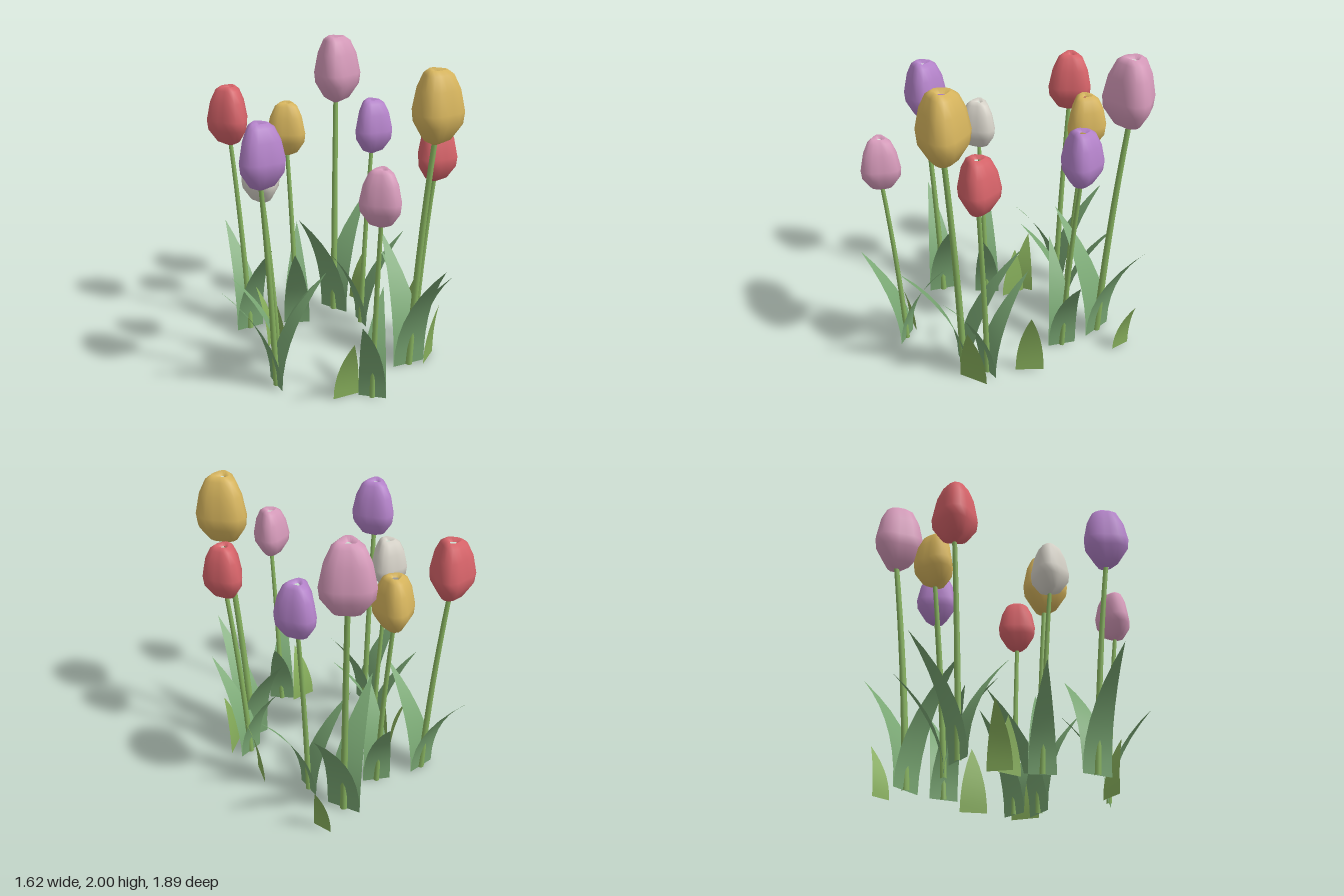
import * as THREE from 'three';
import { mergeVertices } from 'three/addons/utils/BufferGeometryUtils.js';

const mat = (name, color, side = THREE.FrontSide) => {
  const m = new THREE.MeshStandardMaterial({ color, side });
  m.name = name;
  return m;
};
const V = (x, y, z) => new THREE.Vector3(x, y, z);
const rad = THREE.MathUtils.degToRad;

// Curved pointed blade: straight base edge, tapering while it bends towards the tip
function bladeGeometry(base, half, tip, rows = 7) {
  const pos = [], idx = [];
  for (let i = 0; i <= rows; i++) {
    const t = i / rows, w = 1 - t * t;
    const cx = base[0] + (tip[0] - base[0]) * t * t;
    const cz = base[1] + (tip[2] - base[1]) * t * t;
    for (const s of [-1, 1]) pos.push(cx + s * half[0] * w, tip[1] * t, cz + s * half[1] * w);
    if (i < rows) {
      const a = i * 2;
      idx.push(a, a + 1, a + 2);
      if (i < rows - 1) idx.push(a + 1, a + 3, a + 2);
    }
  }
  const g = new THREE.BufferGeometry();
  g.setAttribute('position', new THREE.Float32BufferAttribute(pos, 3));
  g.setIndex(idx);
  g.computeVertexNormals();
  return g;
}

// Closed three-lobed bud with a small dipped opening on top
function budGeometry() {
  const profile = [[0.015, 0], [0.075, 0.03], [0.128, 0.115], [0.135, 0.18], [0.112, 0.3],
    [0.078, 0.378], [0.046, 0.403], [0.02, 0.38]];
  let g = new THREE.LatheGeometry(profile.map(p => new THREE.Vector2(...p)), 18);
  const p = g.attributes.position;
  for (let i = 0; i < p.count; i++) {
    const k = 1 + 0.14 * Math.cos(3 * Math.atan2(p.getZ(i), p.getX(i)));
    p.setX(i, p.getX(i) * k);
    p.setZ(i, p.getZ(i) * k);
  }
  g.deleteAttribute('uv');
  g.deleteAttribute('normal');
  g = mergeVertices(g, 1e-4);
  g.computeVertexNormals();
  return g;
}

// Tapered stem following a gentle bend
function stemGeometry(end) {
  const curve = new THREE.QuadraticBezierCurve3(V(0, 0, 0), V(end.x * 0.3, end.y * 0.5, end.z * 0.3), end);
  const rows = 8, sides = 8;
  const g = new THREE.TubeGeometry(curve, rows, 1, sides);
  const p = g.attributes.position, v = V(0, 0, 0);
  for (let i = 0; i < p.count; i++) {
    const t = Math.floor(i / (sides + 1)) / rows;
    const c = curve.getPointAt(t);
    v.fromBufferAttribute(p, i).sub(c).multiplyScalar(0.021 - 0.006 * t).add(c);
    p.setXYZ(i, v.x, v.y, v.z);
  }
  return g;
}

export function createModel() {
  const model = new THREE.Group();
  model.name = 'tulipPatch';

  const leafMat = mat('leaf green', 0x7aa874, THREE.DoubleSide);
  const grassMat = mat('grass green', 0x88b05c, THREE.DoubleSide);
  const stemMat = mat('stem green', 0x88b460);
  const red = mat('red petal', 0xd8646a);
  const yellow = mat('yellow petal', 0xd8b65e);
  const purple = mat('purple petal', 0xb684cc);
  const pink = mat('pink petal', 0xd79bbb);
  const white = mat('white petal', 0xd8d4ca);

  // Shared parts at unit size; the stem leans to one side of the leaf axis
  const lean = rad(-32);
  const top = V(Math.cos(lean) * 0.115, 1.365, Math.sin(lean) * 0.115);
  const bud = budGeometry();
  const stem = stemGeometry(top);
  const leaves = [1, -1].map(s => bladeGeometry([0, 0], [0, 0.1 * s], [0.35 * s, 0.71, 0]));

  // x, z, size, leaf direction, bud direction, petal colour
  const tulips = [
    [-0.555, -0.32, 1, 239, 58, red],
    [-0.34, 0.49, 1, 156, 0, purple],
    [-0.335, 0.17, 0.848, 178, 70, white],
    [-0.225, -0.4, 0.92, 270, 34, yellow],
    [0.045, -0.63, 1.149, 308, -18, pink],
    [0.235, -0.4, 0.931, 339, 5, purple],
    [0.565, 0.065, 0.92, 49, 5, red],
    [0.525, 0.225, 1.14, 64, -6, yellow],
    [0.26, 0.65, 0.87, 105, 45, pink],
  ];
  for (const [x, z, size, dir, budDir, petal] of tulips) {
    const tulip = new THREE.Group();
    tulip.name = 'tulip';
    const add = (name, geo, material) => {
      const m = new THREE.Mesh(geo, material);
      m.name = name;
      tulip.add(m);
      return m;
    };
    add('stem', stem, stemMat);
    leaves.forEach(g => add('leaf', g, leafMat));
    const head = add('bud', bud, petal);
    head.position.set(top.x, 1.337, top.z);
    head.rotation.y = rad(dir - budDir);
    tulip.position.set(x, 0, z);
    tulip.rotation.y = -rad(dir);
    tulip.scale.setScalar(size);
    model.add(tulip);
  }

  // Short loose blades between the flowers: base centre, half width, tip
  const blades = [
    [[0.525, -0.205], [0.012, 0.09], [0.62, 0.47, -0.22]],
    [[0.66, 0.145], [-0.04, 0.09], [0.72, 0.4, 0.17]],
    [[-0.395, -0.08], [-0.02, 0.075], [-0.495, 0.41, -0.115]],
    [[-0.33, -0.02], [0.045, 0.07], [-0.365, 0.35, -0.03]],
    [[0.1, 0.64], [0.08, -0.04], [0.145, 0.4, 0.73]],
    [[0.215, -0.79], [0.045, 0.05], [0.275, 0.36, -0.875]],
  ];
  for (const b of blades) {
    const m = new THREE.Mesh(bladeGeometry(...b), grassMat);
    m.name = 'grassBlade';
    model.add(m);
  }
  return model;
}
